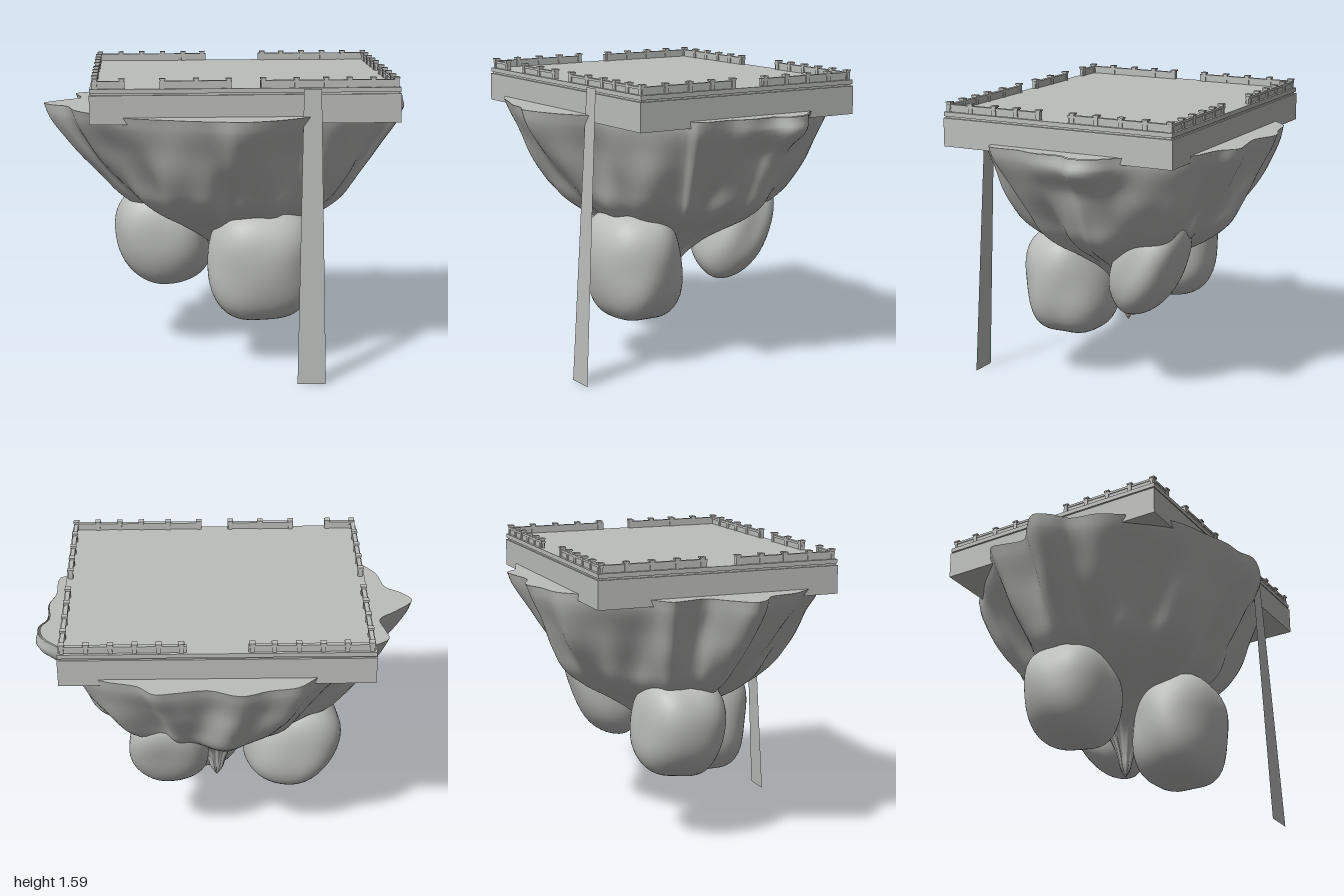
import * as THREE from 'three';
import { mergeVertices } from 'three/addons/utils/BufferGeometryUtils.js';

const stone = new THREE.MeshStandardMaterial({ color: 0xbcbebb, side: THREE.DoubleSide });
stone.name = 'pale stone';

function add(parent, name, geometry) {
  const mesh = new THREE.Mesh(geometry, stone);
  mesh.name = name;
  parent.add(mesh);
  return mesh;
}

// Box given by its limits on each axis
function box(parent, name, x0, x1, y0, y1, z0, z1) {
  const mesh = add(parent, name, new THREE.BoxGeometry(x1 - x0, y1 - y0, z1 - z0));
  mesh.position.set((x0 + x1) / 2, (y0 + y1) / 2, (z0 + z1) / 2);
}

// Smooth surface through closed rings listed from top to bottom
function loft(rings) {
  const n = rings[0].length, index = [];
  for (let i = 0; i < rings.length - 1; i++) {
    for (let j = 0; j < n; j++) {
      const a = i * n + j, b = i * n + (j + 1) % n;
      index.push(a, b, b + n, a, b + n, a + n);
    }
  }
  const geometry = new THREE.BufferGeometry().setFromPoints(rings.flat());
  geometry.setIndex(index);
  geometry.computeVertexNormals();
  return geometry;
}

// Hanging rock: ragged outline shrinking to a spike
function addRock(group) {
  const topY = 1.39;
  const outline = [
    [0.93, -0.1], [0.94, 0.05], [0.91, 0.15], [0.9, 0.33], [0.82, 0.36], [0.68, 0.5], [0.52, 0.61],
    [0.4, 0.64], [0.32, 0.7], [0.2, 0.77], [0, 0.825], [-0.1, 0.79], [-0.2, 0.78], [-0.35, 0.73],
    [-0.5, 0.68], [-0.58, 0.63], [-0.74, 0.47], [-0.83, 0.35], [-0.87, 0.2], [-0.95, 0.14],
    [-1, 0.06], [-0.9, -0.05], [-0.81, -0.13], [-0.83, -0.25], [-0.84, -0.32], [-0.74, -0.4],
    [-0.58, -0.57], [-0.45, -0.67], [-0.35, -0.76], [-0.2, -0.79], [-0.06, -0.835], [0.1, -0.78],
    [0.25, -0.8], [0.37, -0.81], [0.45, -0.74], [0.64, -0.68], [0.76, -0.54], [0.85, -0.39],
    [0.95, -0.28], [0.97, -0.18],
  ];
  const curve = new THREE.CatmullRomCurve3(outline.map(([x, z]) => new THREE.Vector3(x, topY, z)), true);
  const rim = curve.getPoints(160).slice(0, -1);

  // Height and share of the rim radius
  const profile = new THREE.CatmullRomCurve3([
    [1, 1.39], [0.97, 1.32], [0.89, 1.2], [0.825, 1.1], [0.75, 1], [0.66, 0.89], [0.53, 0.8],
    [0.37, 0.72], [0.22, 0.63], [0.11, 0.53], [0.055, 0.42], [0.035, 0.35], [0.004, 0.3],
  ].map(([r, y]) => new THREE.Vector3(r, y, 0)));
  const rings = profile.getPoints(48).map(({ x: r, y }) => {
    const depth = THREE.MathUtils.clamp((topY - y) / 0.45, 0, 1);
    const shift = THREE.MathUtils.clamp((topY - y) / 0.8, 0, 1);
    return rim.map((p) => {
      const t = Math.atan2(p.z, p.x);
      // Gullies twist and deepen downward
      const gully = 0.05 * Math.sin(5 * t + 4 * y) + 0.035 * Math.sin(9 * t - 5 * y + 1)
        + 0.015 * Math.sin(17 * t + 9 * y);
      const bulge = 0.07 * Math.exp(-(((t + 0.18) / 0.2) ** 2) - (((y - 1.3) / 0.07) ** 2));
      const k = r * (1 + gully * depth + bulge);
      return new THREE.Vector3(Math.min(p.x * k + 0.05 * shift, 1), y, p.z * k - 0.02 * shift);
    });
  });
  add(group, 'hangingRock', loft(rings));

  const cap = new THREE.ShapeGeometry(new THREE.Shape(rim.map((p) => new THREE.Vector2(p.x, -p.z))));
  cap.rotateX(-Math.PI / 2);
  add(group, 'rockTop', cap).position.y = topY;
}

// Rounded boulder: boxy ellipsoid with gentle lumps and a lean
function addBoulder(group, name, center, radii, lean, seed) {
  let geometry = new THREE.IcosahedronGeometry(1, 9);
  geometry.deleteAttribute('normal');
  geometry.deleteAttribute('uv');
  geometry = mergeVertices(geometry, 1e-4);
  const pos = geometry.attributes.position, v = new THREE.Vector3();
  for (let i = 0; i < pos.count; i++) {
    v.fromBufferAttribute(pos, i).normalize();
    const sum = Math.abs(v.x) ** 2.5 + Math.abs(v.y) ** 2.5 + Math.abs(v.z) ** 2.5;
    const lump = 0.03 * Math.sin(4 * v.x + seed) * Math.sin(3 * v.y + 2 * seed)
      + 0.025 * Math.sin(5 * v.z + 3 * v.y + seed);
    v.multiplyScalar(sum ** (-1 / 2.5) * (1 + lump));
    const y = v.y * radii[1];
    pos.setXYZ(i, v.x * radii[0] + lean[0] * y, y, v.z * radii[2] + lean[1] * y);
  }
  geometry.computeVertexNormals();
  add(group, name, geometry).position.set(...center);
}

// Low parapet run with capped posts; along is 'x' or 'z'
function addRail(group, along, from, to, at, posts) {
  const put = (name, a0, a1, y0, y1, half) => (along === 'x'
    ? box(group, name, a0, a1, y0, y1, at - half, at + half)
    : box(group, name, at - half, at + half, y0, y1, a0, a1));
  put('railWall', from, to, 1.53, 1.562, 0.007);
  put('railCoping', from, to, 1.562, 1.574, 0.011);
  for (const p of posts) {
    put('railPost', p - 0.011, p + 0.011, 1.53, 1.579, 0.013);
    put('railPostCap', p - 0.015, p + 0.015, 1.579, 1.587, 0.016);
  }
}

export function createModel() {
  const group = new THREE.Group();
  group.name = 'floatingTerrace';

  addRock(group);
  addBoulder(group, 'frontBoulder', [0.165, 0.54, 0.265], [0.29, 0.315, 0.235], [0.02, 0.06], 1);
  addBoulder(group, 'leftBoulder', [-0.36, 0.63, -0.1], [0.255, 0.27, 0.24], [-0.12, 0], 2.3);
  addBoulder(group, 'backBoulder', [0.31, 0.72, -0.285], [0.21, 0.275, 0.18], [0.02, -0.28], 4);

  // Terrace slab in stepped layers
  box(group, 'slab', -0.74, 0.845, 1.355, 1.503, -0.675, 0.637);
  box(group, 'slabGroove', -0.73, 0.835, 1.503, 1.512, -0.665, 0.627);
  box(group, 'terraceFloor', -0.737, 0.842, 1.512, 1.535, -0.672, 0.634);

  // Parapet with openings on every side
  const rails = new THREE.Group();
  rails.name = 'parapet';
  group.add(rails);
  addRail(rails, 'x', -0.728, -0.56, 0.613, [-0.71, -0.575]);
  addRail(rails, 'x', -0.385, -0.02, 0.613, [-0.37, -0.2, -0.035]);
  addRail(rails, 'x', 0.125, 0.833, 0.613, [0.14, 0.31, 0.46, 0.58, 0.7, 0.82]);
  addRail(rails, 'x', -0.728, -0.1, -0.651, [-0.71, -0.59, -0.47, -0.35, -0.23, -0.12]);
  addRail(rails, 'x', 0.205, 0.833, -0.651, [0.23, 0.34, 0.46, 0.58, 0.7, 0.82]);
  for (const x of [-0.715, 0.82]) {
    addRail(rails, 'z', -0.662, -0.09, x, [-0.52, -0.385, -0.25, -0.115]);
    addRail(rails, 'z', 0.07, 0.624, x, [0.08, 0.21, 0.34, 0.48]);
  }

  // Thin waterfall widening as it drops
  const fall = new THREE.BufferGeometry().setFromPoints([
    new THREE.Vector3(0.345, 1.53, 0.645), new THREE.Vector3(0.435, 1.53, 0.645),
    new THREE.Vector3(0.465, 0, 0.725), new THREE.Vector3(0.317, 0, 0.725),
  ]);
  fall.setIndex([0, 3, 2, 0, 2, 1]);
  fall.computeVertexNormals();
  add(group, 'waterfall', fall);

  return group;
}
